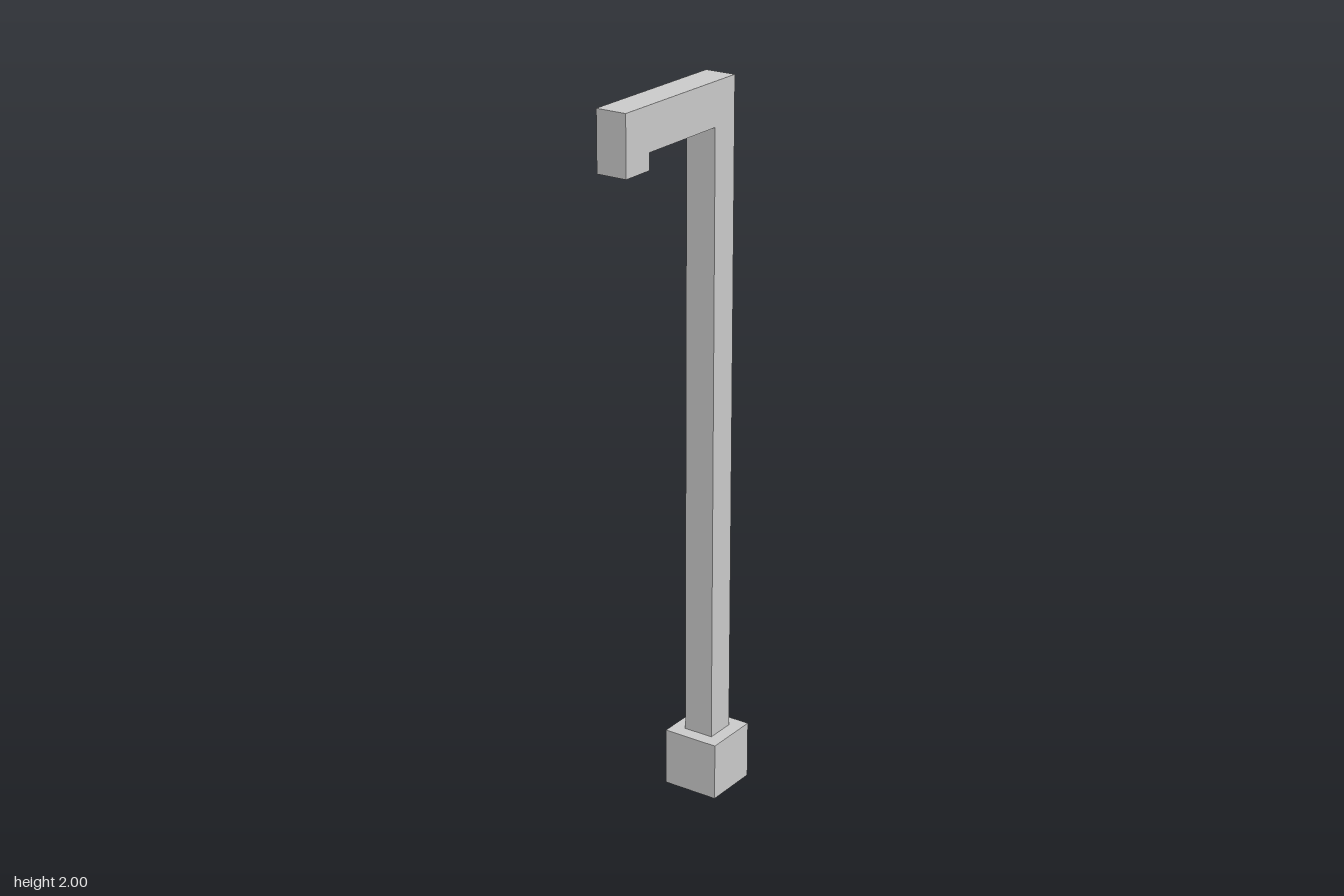
import * as THREE from 'three';

export function createModel() {
  const group = new THREE.Group();
  const material = new THREE.MeshStandardMaterial({ color: 0xcccccc, flatShading: true });

  // Square foot block
  const baseSize = 0.163;
  const base = new THREE.Mesh(new THREE.BoxGeometry(baseSize, baseSize, baseSize), material);
  base.name = 'base';
  base.position.set(0, baseSize / 2, -0.172);
  group.add(base);

  // Post, arm and drooping lamp head as one side profile (z, y), extruded across x
  const width = 0.087;
  const profile = new THREE.Shape([
    [-0.216, baseSize], [-0.129, baseSize], [-0.129, 1.882], [0.154, 1.882],
    [0.154, 1.837], [0.252, 1.837], [0.252, 2], [-0.216, 2],
  ].map(([z, y]) => new THREE.Vector2(z, y)));
  const geometry = new THREE.ExtrudeGeometry(profile, { depth: width, bevelEnabled: false });
  geometry.translate(0, 0, -width / 2).rotateY(-Math.PI / 2);
  const post = new THREE.Mesh(geometry, material);
  post.name = 'postArmAndLampHead';
  group.add(post);

  return group;
}
